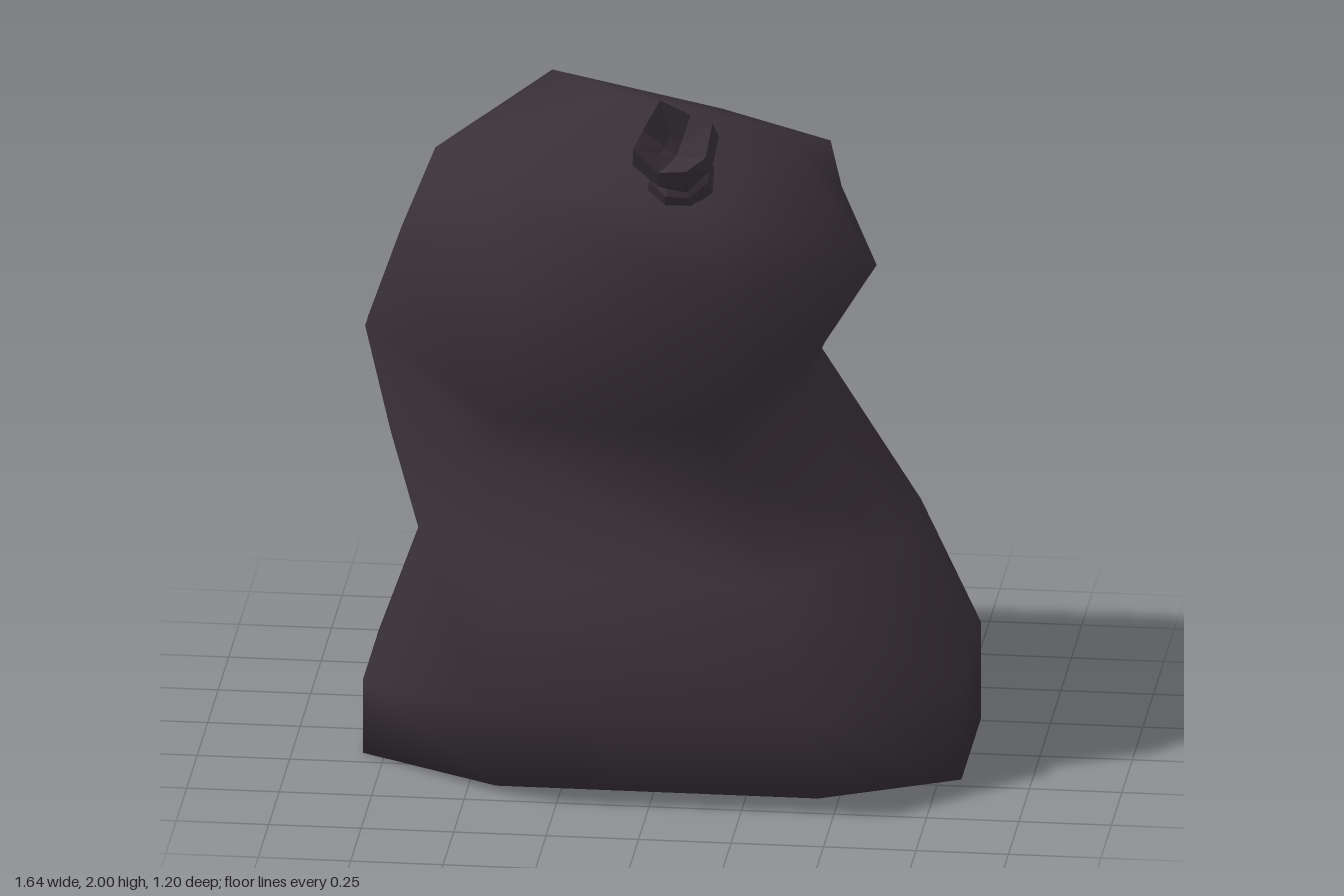
import * as THREE from 'three';

const bagPlastic = new THREE.MeshStandardMaterial({ color: 0x3a3238 });
bagPlastic.name = 'dark bag plastic';

// Skin a stack of equal-length rings and close both ends with a fan
function loft(rings, bottom, top) {
  const n = rings[0].length;
  const points = [...rings.flat(), bottom, top];
  const low = points.length - 2, high = points.length - 1;
  const last = (rings.length - 1) * n;
  const index = [];
  for (let k = 0; k < n; k++) {
    const next = (k + 1) % n;
    for (let i = 0; i < rings.length - 1; i++) {
      const a = i * n + k, b = i * n + next;
      index.push(a, a + n, b + n, a, b + n, b);
    }
    index.push(k, next, low, last + next, last + k, high);
  }
  const geometry = new THREE.BufferGeometry();
  geometry.setAttribute('position', new THREE.Float32BufferAttribute(points.flat(), 3));
  geometry.setIndex(index);
  geometry.computeVertexNormals();
  return geometry;
}

// Regular octagon for the foot of the bag, with a height for each side
function footRing(zFront, zBack, yLow, yHigh, yFront, yBack) {
  return [
    [0.815, yHigh, 0.24], [0.45, yFront, zFront], [-0.42, yFront, zFront], [-0.81, yLow, 0.18],
    [-0.81, yLow, -0.20], [-0.42, yBack, zBack], [0.40, yBack, zBack], [0.815, yHigh, -0.23],
  ];
}

// Slumped cross-sections above the foot, from the +x side round by the front
const lowerBody = [
  [0.64, 0.63, 0.05], [0.32, 0.62, 0.44], [-0.41, 0.62, 0.44], [-0.66, 0.63, 0.15],
  [-0.66, 0.63, -0.22], [-0.43, 0.60, -0.60], [0.32, 0.62, -0.595], [0.65, 0.63, -0.25],
];
const waist = [
  [0.34, 0.98, -0.10], [0.18, 0.92, 0.30], [-0.45, 0.92, 0.30], [-0.75, 0.88, 0.05],
  [-0.75, 0.88, -0.18], [-0.43, 1.00, -0.595], [0.24, 1.00, -0.585], [0.355, 1.00, -0.42],
];
const overhang = [
  [0.43, 1.20, 0.09], [0.18, 1.10, 0.52], [-0.40, 1.10, 0.50], [-0.83, 1.14, -0.05],
  [-0.83, 1.14, -0.13], [-0.45, 1.33, -0.56], [0.18, 1.33, -0.575], [0.36, 1.25, -0.40],
];
const head = [
  [0.57, 1.43, 0.10], [0.20, 1.48, 0.51], [-0.37, 1.48, 0.49], [-0.74, 1.40, 0.05],
  [-0.74, 1.40, -0.12], [-0.44, 1.43, -0.53], [0.18, 1.43, -0.53], [0.43, 1.50, -0.30],
];
const shoulders = [
  [0.35, 1.77, 0.11], [0.12, 1.68, 0.39], [-0.45, 1.70, 0.33], [-0.64, 1.66, 0.15],
  [-0.64, 1.66, -0.05], [-0.36, 1.775, -0.37], [0.10, 1.69, -0.35], [0.40, 1.63, -0.30],
];

function makeBag() {
  const rings = [
    footRing(0.44, -0.47, 0, 0.015, 0.02, 0.02),
    footRing(0.60, -0.60, 0.21, 0.29, 0.29, 0.22),
    lowerBody, waist, overhang, head, shoulders,
  ];
  const bag = new THREE.Mesh(loft(rings, [0, 0.02, 0], [-0.13, 1.88, 0.06]), bagPlastic);
  bag.name = 'bagBody';
  return bag;
}

// Ring of eight points whose odd points can differ, giving folds and tips
function foldedRing([r, h, oddR = r, oddH = h]) {
  return Array.from({ length: 8 }, (_, k) => {
    const t = (k + 0.5) / 8 * Math.PI * 2;
    const radius = k % 2 ? oddR : r;
    return [radius * Math.cos(t), k % 2 ? oddH : h, radius * Math.sin(t)];
  });
}

function facetedMesh(name, rows, bottomY, topY) {
  const geometry = loft(rows.map(foldedRing), [0, bottomY, 0], [0, topY, 0]).toNonIndexed();
  geometry.computeVertexNormals();
  const mesh = new THREE.Mesh(geometry, bagPlastic);
  mesh.name = name;
  return mesh;
}

function makeKnot() {
  const knot = new THREE.Group();
  knot.name = 'knot';
  // Tied band around the neck
  knot.add(facetedMesh('knotBand', [
    [0.08, -0.07], [0.095, -0.02], [0.085, 0.03], [0.065, 0.045],
  ], -0.07, 0.045));
  // Gathered end flaring into pointed tips with a hollow inside
  knot.add(facetedMesh('gatheredEnd', [
    [0.06, 0.03, 0.068], [0.11, 0.15, 0.122, 0.16],
    [0.095, 0.205, 0.112, 0.255], [0.035, 0.15, 0.045, 0.17],
  ], 0.03, 0.13));
  knot.position.set(0.065, 1.75, 0.325);
  knot.rotation.x = Math.PI / 4;
  return knot;
}

export function createModel() {
  const model = new THREE.Group();
  model.name = 'tiedBag';
  model.add(makeBag(), makeKnot());
  return model;
}
